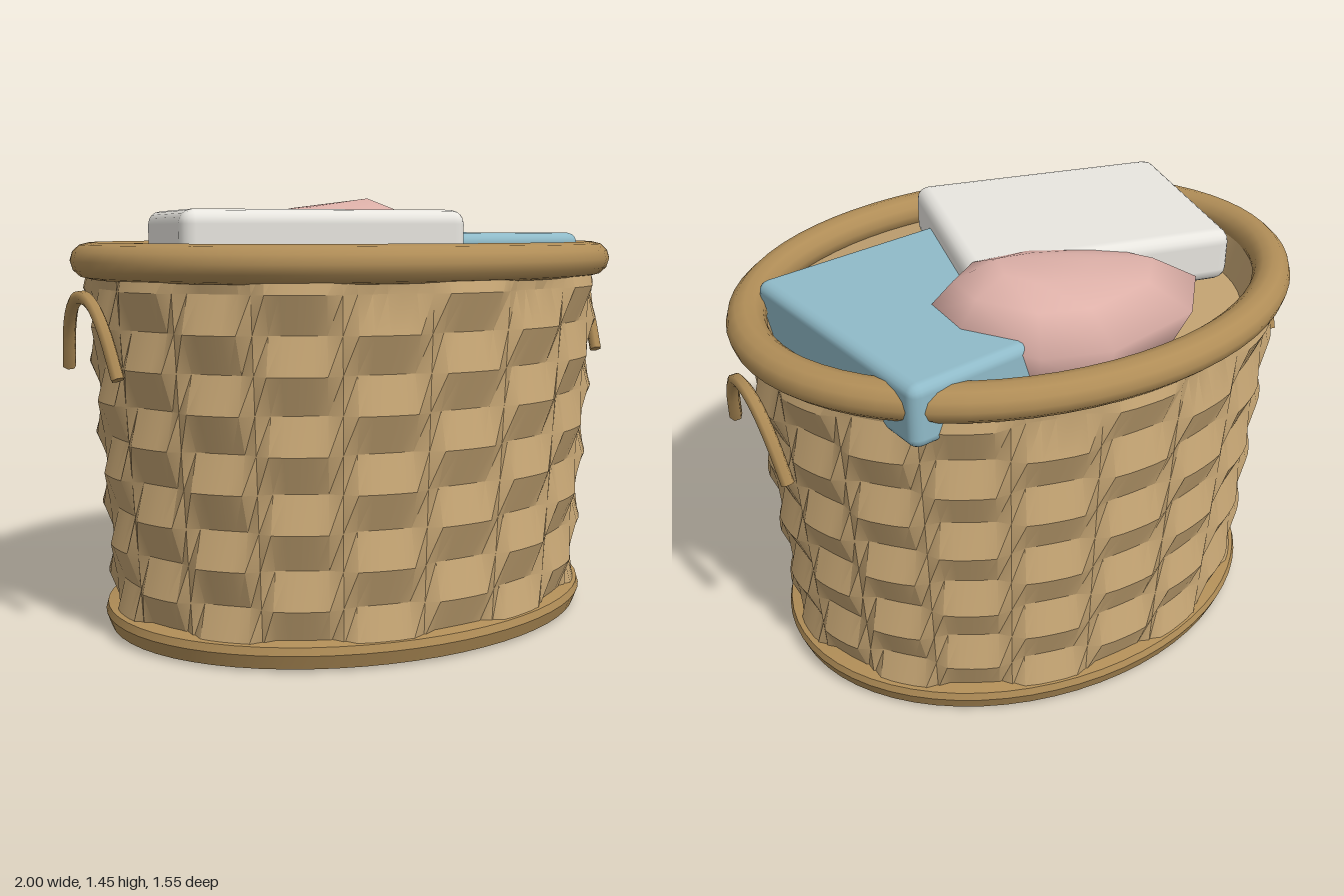
import * as THREE from 'three';
import { mergeVertices, toCreasedNormals } from 'three/addons/utils/BufferGeometryUtils.js';
import { RoundedBoxGeometry } from 'three/addons/geometries/RoundedBoxGeometry.js';
import { ConvexGeometry } from 'three/addons/geometries/ConvexGeometry.js';

const mat = (color) => new THREE.MeshStandardMaterial({ color });

// Skin over stacked ellipses [rx, rz, y]; bulge(angle, row) offsets the radii
function ellipseLoft(rows, segments, crease, bulge = () => 0) {
  const positions = [], index = [];
  rows.forEach(([rx, rz, y], j) => {
    for (let i = 0; i < segments; i++) {
      const a = (i / segments) * Math.PI * 2, d = bulge(a, j);
      positions.push((rx + d) * Math.cos(a), y, (rz + d) * Math.sin(a));
    }
  });
  for (let j = 0; j < rows.length - 1; j++) {
    for (let i = 0; i < segments; i++) {
      const n = (i + 1) % segments;
      const a = j * segments + i, b = a + segments;
      const c = j * segments + n, d = c + segments;
      index.push(a, b, c, c, b, d);
    }
  }
  const g = new THREE.BufferGeometry();
  g.setAttribute('position', new THREE.Float32BufferAttribute(positions, 3));
  g.setIndex(index);
  return toCreasedNormals(g, crease);
}

export function createModel() {
  const group = new THREE.Group();
  const weave = mat(0xc4a473), trim = mat(0xb08d57);
  const add = (name, geometry, material) => {
    const mesh = new THREE.Mesh(geometry, material);
    mesh.name = name;
    group.add(mesh);
    return mesh;
  };

  // Woven wall: 20 columns whose bulge alternates from row to row
  const wallRows = [];
  for (let j = 0; j < 10; j++) {
    wallRows.push([0.85 + 0.0075 * j, 0.675 + 0.006 * j, 0.07 + 0.12 * j]);
  }
  wallRows.push([0.92, 0.72, 1.23]);
  add('wovenWall', ellipseLoft(wallRows, 120, 0.45, (a, j) => {
    if (j > 9) return 0;
    const over = THREE.MathUtils.clamp(1.8 * Math.cos(10 * a), -1, 1);
    return 0.021 * over * (j % 2 ? -1 : 1);
  }), weave);

  // Base band with closed underside
  add('base', ellipseLoft([
    [0, 0, 0.005], [0.845, 0.655, 0.005], [0.85, 0.66, 0], [0.875, 0.69, 0.008],
    [0.892, 0.708, 0.055], [0.885, 0.7, 0.08], [0.83, 0.65, 0.092],
  ], 64, 0.6), trim);

  // Thick rounded rim
  const rimRows = [];
  for (let k = 0; k <= 12; k++) {
    const p = (k / 12) * Math.PI * 2, d = 0.064 * Math.cos(p);
    rimRows.push([0.917 + d, 0.71 + d, 1.238 + 0.059 * Math.sin(p)]);
  }
  add('rim', ellipseLoft(rimRows, 64, 1), trim);

  // Inner wall and the floor the laundry rests on
  add('lining', ellipseLoft([
    [0.86, 0.66, 1.23], [0.82, 0.642, 1.1], [0, 0, 1.1],
  ], 64, 0.6), weave);

  // Arched handle on each end
  for (const side of [1, -1]) {
    const arch = new THREE.CatmullRomCurve3(
      [[-0.225, 0.89], [-0.16, 1.03], [-0.09, 1.105], [0, 1.13], [0.09, 1.105], [0.16, 1.03], [0.225, 0.89]]
        .map(([z, y]) => new THREE.Vector3(side * (0.95 + (y - 0.89) * 0.115), y, z)));
    add(side > 0 ? 'leftHandle' : 'rightHandle', new THREE.TubeGeometry(arch, 20, 0.022, 6), trim);
    // End caps
    for (const end of [0, 1]) {
      const cap = add('handleEnd', new THREE.CircleGeometry(0.022, 6), trim);
      const p = arch.getPoint(end), t = arch.getTangent(end).multiplyScalar(end ? 1 : -1);
      cap.position.copy(p);
      cap.lookAt(p.clone().add(t));
    }
  }

  // Folded cloths
  const white = add('whiteCloth', new RoundedBoxGeometry(0.91, 0.18, 0.71, 2, 0.045), mat(0xe8e6e0));
  white.position.set(-0.265, 1.31, 0.112);
  white.rotation.y = -0.24;
  const blue = add('blueCloth', new RoundedBoxGeometry(0.75, 0.21, 0.87, 2, 0.035), mat(0x8fbac8));
  blue.position.set(0.38, 1.222, -0.1);
  blue.rotation.y = 0.14;

  // Crumpled cloth: shrinking rings drawn toward an off-centre peak
  const outline = [
    [-0.48, -0.34], [-0.31, -0.54], [0.05, -0.635], [0.27, -0.575],
    [0.43, -0.35], [0.43, -0.15], [0.26, -0.02], [-0.05, -0.02], [-0.36, -0.16],
  ];
  const lump = [new THREE.Vector3(0.2, 1.452, -0.21)];
  for (const [scale, y] of [[0.85, 1.14], [1, 1.29], [0.72, 1.39], [0.35, 1.43]]) {
    for (const [x, z] of outline) {
      lump.push(new THREE.Vector3(0.12 + (x - 0.12) * scale, y + (x - 0.1) * 0.03, -0.27 + (z + 0.27) * scale));
    }
  }
  let pinkGeometry = new ConvexGeometry(lump);
  pinkGeometry.deleteAttribute('normal');
  pinkGeometry = mergeVertices(pinkGeometry, 0.001);
  pinkGeometry.computeVertexNormals();
  add('pinkCloth', pinkGeometry, mat(0xddb0a8));

  return group;
}
